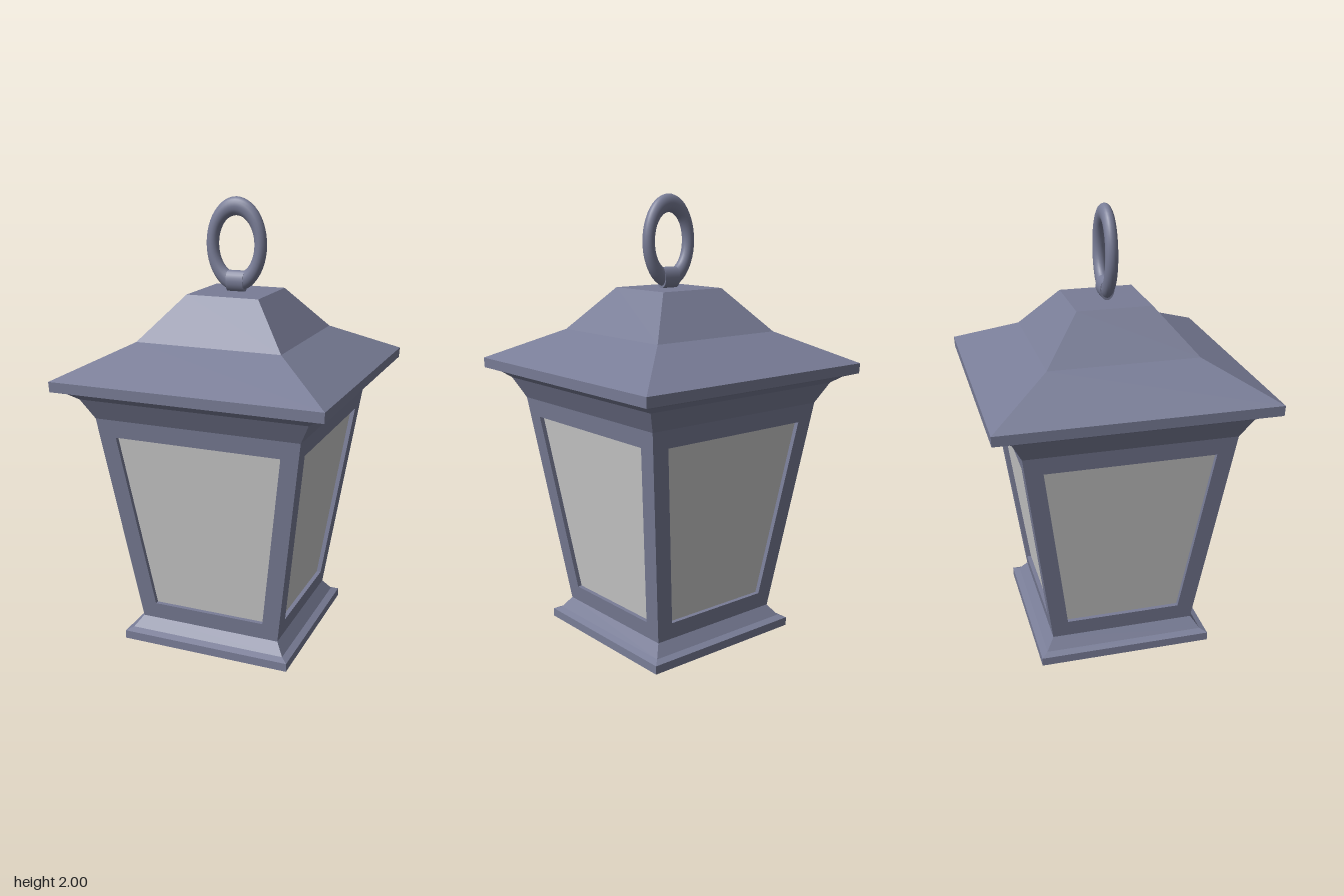
import * as THREE from 'three';

const metal = new THREE.MeshStandardMaterial({ color: 0x797d97 });
const glass = new THREE.MeshStandardMaterial({ color: 0xcccccc, side: THREE.DoubleSide });

const Y0 = 0.1, Y1 = 1.08; // lantern body, bottom and top
const halfWidth = (y) => 0.33 + (0.136 * (y - Y0)) / (Y1 - Y0);

function addMesh(parent, name, geometry, material) {
  const mesh = new THREE.Mesh(geometry, material);
  mesh.name = name;
  parent.add(mesh);
  return mesh;
}

// Square solid from a profile of [half width, height], bottom to top
function squareLoft(profile) {
  const pts = profile.map(([w, y]) => new THREE.Vector2(w * Math.SQRT2, y));
  const geo = new THREE.LatheGeometry(pts, 4, Math.PI / 4).toNonIndexed();
  geo.computeVertexNormals();
  return geo;
}

// Corners of a symmetric trapezoid, counter-clockwise
const trapezoid = (w0, y0, w1, y1) =>
  [[-w0, y0], [w0, y0], [w1, y1], [-w1, y1]].map(([x, y]) => new THREE.Vector2(x, y));

// Window frame leaning with the body, mitred at the corners
function frameGeometry(depth) {
  const shape = new THREE.Shape(trapezoid(halfWidth(Y0), Y0, halfWidth(Y1), Y1));
  shape.holes.push(new THREE.Path(trapezoid(0.262, 0.178, 0.377, 1.0).reverse()));
  const geo = new THREE.ExtrudeGeometry(shape, { depth, bevelEnabled: false });
  const p = geo.attributes.position;
  for (let i = 0; i < p.count; i++) {
    const x = p.getX(i), h = halfWidth(p.getY(i)), inset = depth - p.getZ(i);
    if (Math.abs(x) > h - 0.001) p.setX(i, Math.sign(x) * (h - inset));
    p.setZ(i, h - inset);
  }
  geo.computeVertexNormals();
  return geo;
}

// Pane set back behind the frame's face
function paneGeometry(setback) {
  const geo = new THREE.ShapeGeometry(new THREE.Shape(trapezoid(0.27, 0.16, 0.387, 1.02)));
  const p = geo.attributes.position;
  for (let i = 0; i < p.count; i++) p.setZ(i, halfWidth(p.getY(i)) - setback);
  geo.computeVertexNormals();
  return geo;
}

export function createModel() {
  const model = new THREE.Group();
  model.name = 'lantern';

  // Stepped foot
  addMesh(model, 'base', squareLoft([
    [0, 0], [0.395, 0], [0.395, 0.038], [0.366, 0.05], [0.33, Y0], [0, Y0],
  ]), metal);

  // Four framed windows
  const frame = frameGeometry(0.03), pane = paneGeometry(0.02);
  for (let i = 0; i < 4; i++) {
    const side = new THREE.Group();
    side.name = 'windowSide';
    addMesh(side, 'windowFrame', frame, metal);
    addMesh(side, 'windowPane', pane, glass);
    side.rotation.y = (i * Math.PI) / 2;
    model.add(side);
  }

  // Flared cornice under the eaves, then the two-pitch roof
  addMesh(model, 'cornice', squareLoft([
    [0, Y1], [0.466, Y1], [0.513, 1.172], [0.55, 1.2], [0.603, 1.217],
  ]), metal);
  addMesh(model, 'roof', squareLoft([
    [0.603, 1.217], [0.605, 1.262], [0.33, 1.4], [0.166, 1.59], [0, 1.59],
  ]), metal);

  // Oval hanging ring with a thicker collar where it meets the roof
  const hanger = new THREE.Group();
  hanger.name = 'hanger';
  const ring = addMesh(hanger, 'ring', new THREE.TorusGeometry(0.1125, 0.0275, 16, 48), metal);
  ring.scale.y = 1.46;
  ring.position.y = 1.795;
  const collarGeo = new THREE.CylinderGeometry(0.032, 0.032, 0.08, 20).rotateZ(Math.PI / 2);
  const collar = addMesh(hanger, 'collar', collarGeo, metal);
  collar.scale.y = 1.46;
  collar.position.y = 1.636;
  model.add(hanger);

  return model;
}
